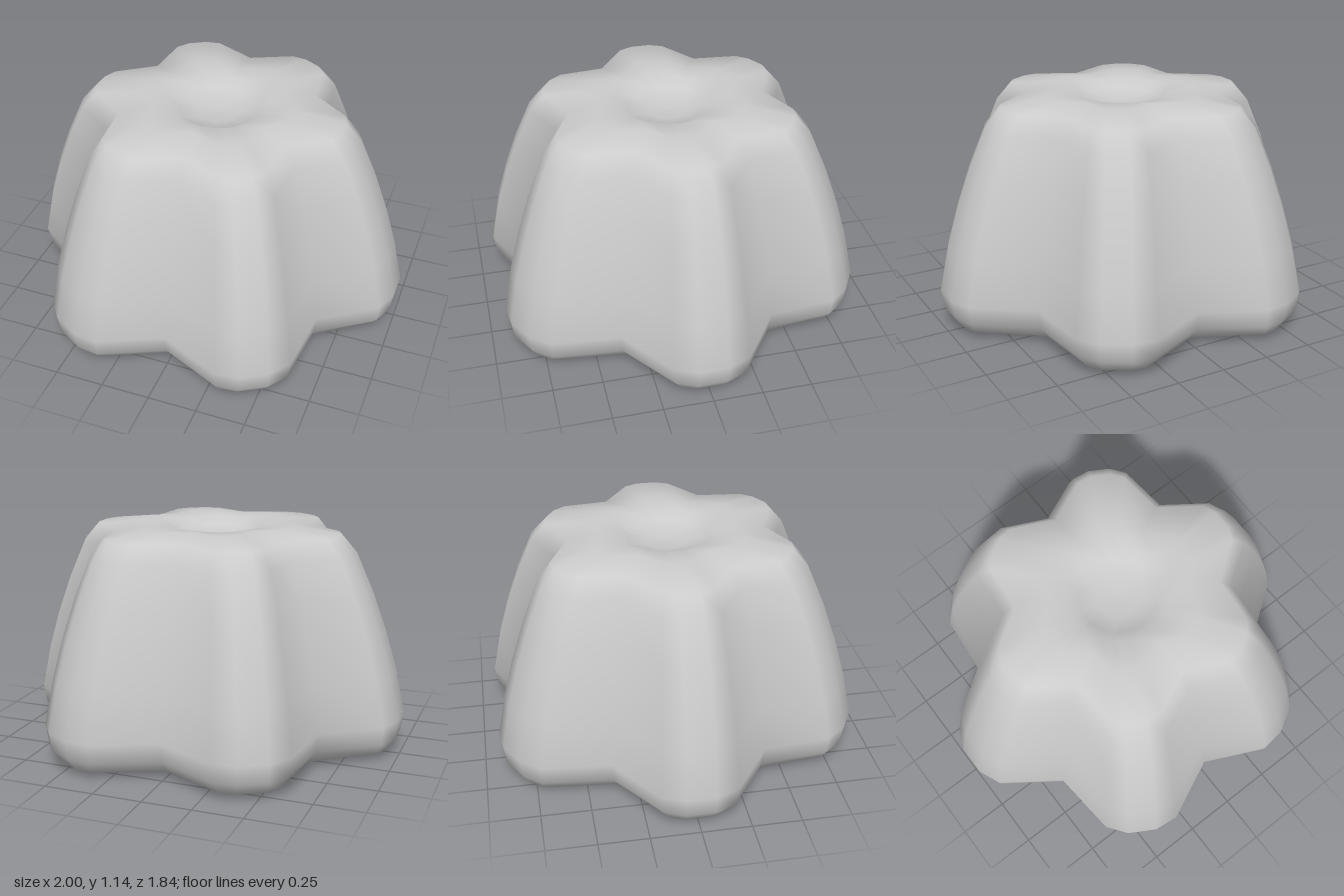
import * as THREE from 'three';

// One lobe of the six-lobed outline, full and pinched: [angle in degrees, radius]
const FULL = [[-11.3, 0.969], [-4.3, 1.0025], [4.3, 1.0025], [11.3, 0.969], [30, 0.775]];
const PINCHED = [[-6.2, 0.992], [-4.3, 1.0025], [4.3, 1.0025], [6.2, 0.992], [30, 0.735]];
const { lerp, degToRad } = THREE.MathUtils;

// Skin through scaled outlines; profile rows are [scale, y, pinch (0 to 1), roundness (1 = circle)]
function loft(name, profile, material) {
  const n = 6 * FULL.length, pos = [], index = [];
  for (const [scale, y, pinch = 0, round = 0] of profile) {
    for (let j = 0; j < n; j++) {
      const p = FULL[j % 5], q = PINCHED[j % 5];
      const a = degToRad(lerp(p[0], q[0], pinch) + 60 * Math.floor(j / 5));
      const r = scale * lerp(lerp(p[1], q[1], pinch), 0.92, round);
      pos.push(r * Math.cos(a), y, r * Math.sin(a));
    }
  }
  for (let i = 0; i < profile.length - 1; i++) {
    for (let j = 0; j < n; j++) {
      const a = i * n + j, b = i * n + (j + 1) % n;
      if (profile[i + 1][0] > 0) index.push(a, a + n, b + n);
      else index.push(a, a + n, b);
      if (profile[i][0] > 0 && profile[i + 1][0] > 0) index.push(a, b + n, b);
    }
  }
  const geo = new THREE.BufferGeometry();
  geo.setAttribute('position', new THREE.Float32BufferAttribute(pos, 3));
  geo.setIndex(index);
  geo.computeVertexNormals();
  const mesh = new THREE.Mesh(geo, material);
  mesh.name = name;
  return mesh;
}

export function createModel() {
  const group = new THREE.Group();
  group.name = 'lobedMould';
  const mat = new THREE.MeshStandardMaterial({ color: 0xcccccc, side: THREE.DoubleSide });

  // Rounded foot, tapering wall, soft shoulder and shallow dimpled top
  group.add(loft('outerShell', [
    [0.85, 0, 1], [0.935, 0.033, 0.55], [0.985, 0.1, 0.12], [1, 0.2], [0.95, 0.43], [0.89, 0.63],
    [0.82, 0.82], [0.73, 1.02], [0.65, 1.11, 0.1], [0.41, 1.14, 0, 0.2],
    [0.27, 1.13, 0, 0.9], [0.21, 1.09, 0, 1], [0.11, 1.073, 0, 1], [0, 1.068, 0, 1],
  ], mat));

  // Stepped lip inside the opening, each face with its own sharp edges
  group.add(loft('lipWall', [[0.85, 0.13, 1], [0.85, 0, 1]], mat));
  group.add(loft('lipLedge', [[0.78, 0.13, 1], [0.85, 0.13, 1]], mat));

  // Cavity wall and its ceiling
  group.add(loft('cavityWall', [
    [0.65, 1.02, 1], [0.7, 0.82, 1], [0.75, 0.43, 1], [0.78, 0.13, 1],
  ], mat));
  group.add(loft('cavityCeiling', [[0, 1.02, 1], [0.65, 1.02, 1]], mat));
  return group;
}
